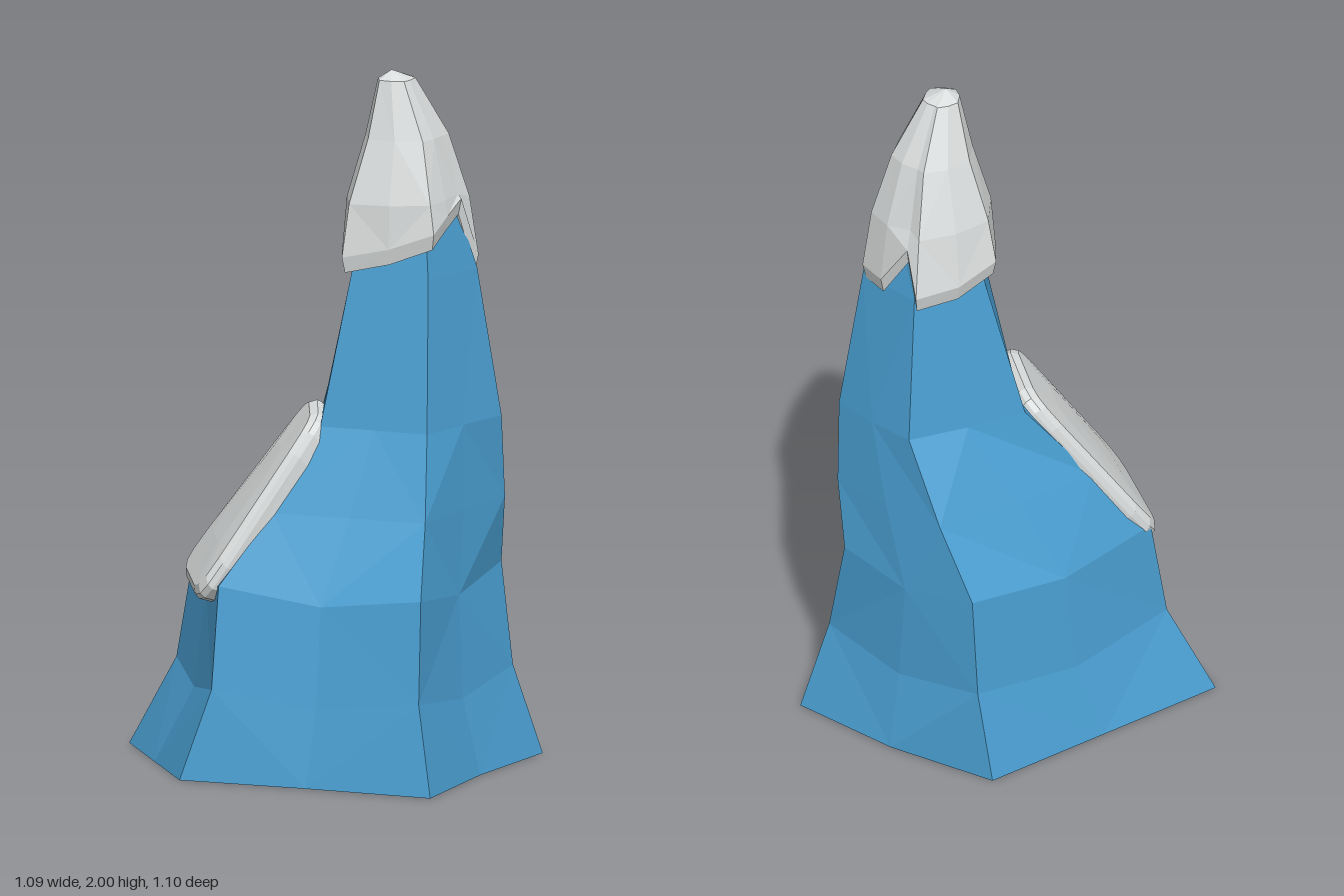
import * as THREE from 'three';

const rockBlue = new THREE.MeshStandardMaterial({ color: 0x4a9fd2, flatShading: true, side: THREE.DoubleSide });
rockBlue.name = 'rock blue';
const snowWhite = new THREE.MeshStandardMaterial({ color: 0xdadddd, flatShading: true, side: THREE.DoubleSide });
snowWhite.name = 'snow white';

// Skins equal-length closed rings of [x, y, z] points, and closes the last ring with a fan to tip
function loft(rings, tip) {
  const n = rings[0].length;
  const index = [];
  for (let r = 0; r < rings.length - 1; r++) {
    for (let j = 0; j < n; j++) {
      const a = r * n + j, b = r * n + (j + 1) % n;
      if ((j + r) % 2) index.push(a, b, b + n, a, b + n, a + n);
      else index.push(a, b, a + n, b, b + n, a + n);
    }
  }
  const last = (rings.length - 1) * n;
  for (let j = 0; j < n; j++) index.push(last + j, last + (j + 1) % n, rings.length * n);
  const g = new THREE.BufferGeometry();
  g.setAttribute('position', new THREE.Float32BufferAttribute([...rings.flat(), tip].flat(), 3));
  g.setIndex(index);
  const flat = g.toNonIndexed();
  flat.computeVertexNormals();
  return flat;
}

function part(name, geometry, material) {
  const mesh = new THREE.Mesh(geometry, material);
  mesh.name = name;
  return mesh;
}

// Five-cornered spire, open below; corners run back right, right, front, left, back left
function rockGeometry() {
  const levels = [
    [0, [-0.42, -0.55], [-0.548, -0.02], [-0.045, 0.55], [0.545, 0.145], [0.39, -0.52]],
    [0.26, [-0.318, -0.455], [-0.46, 0.01], [-0.045, 0.482], [0.467, 0.11], [0.39, -0.455]],
    [0.55, [-0.275, -0.435], [-0.415, -0.03], [-0.015, 0.44], [0.467, 0.042], [0.385, -0.425]],
    [0.75, [-0.12, -0.36], [-0.25, -0.01], [0.06, 0.33], [0.452, 0.09], [0.4, -0.3]],
    [0.99, [0.06, -0.275], [-0.1, 0], [0.11, 0.25], [0.43, 0.11], [0.41, -0.175]],
    [1.42, [0.145, -0.2], [0, 0], [0.155, 0.175], [0.37, 0.075], [0.36, -0.14]],
    [1.6, [0.15, -0.16], [0.04, 0], [0.165, 0.14], [0.31, 0.07], [0.33, -0.11]],
  ];
  // How far the middle of each side bows out, at the foot and above it
  const footBulge = [0, -0.008, -0.02, 0.028, 0];
  const bulge = [0, -0.01, -0.01, 0.025, 0.025];
  const rings = levels.map(([y, ...corners], level) => corners.flatMap(([x, z], i) => {
    const [x2, z2] = corners[(i + 1) % 5];
    const dx = x2 - x, dz = z2 - z, len = Math.hypot(dx, dz);
    const b = level ? bulge[i] * Math.max(0, 1 - y / 1.4) : footBulge[i];
    const drop = level === 1 || level === 2 ? 0.04 : 0;
    return [[x, y, z], [(x + x2) / 2 - dz / len * b, y - drop, (z + z2) / 2 + dx / len * b]];
  }));
  return loft(rings, [0.18, 1.68, -0.02]);
}

// Snow cap with a ragged hem: long tongues and two sharp notches
function capGeometry() {
  const hem = [
    [-0.03, 1.43, 0], [0.07, 1.46, 0.095], [0.165, 1.51, 0.19], [0.24, 1.55, 0.137],
    [0.31, 1.585, 0.09], [0.38, 1.41, 0.065], [0.392, 1.41, -0.03], [0.37, 1.54, -0.12],
    [0.388, 1.41, -0.18], [0.26, 1.42, -0.22], [0.13, 1.46, -0.23], [0.035, 1.43, -0.115],
  ];
  const cx = 0.18, cz = -0.015;
  // Shrinks the hem about its middle; round blends it towards a circle
  const scaled = (s, round, y, x0 = cx, z0 = cz) => hem.map(([px, py, pz]) => {
    const dx = px - cx, dz = pz - cz;
    const k = s * (1 - round + round * 0.205 / Math.hypot(dx, dz));
    return [x0 + dx * k, y(py), z0 + dz * k];
  });
  return loft([
    scaled(0.8, 0, y => y + 0.03),
    scaled(0.95, 0, y => y),
    scaled(1, 0, y => y + 0.045),
    scaled(0.89, 0.25, y => 1.635 + (y - 1.5) * 0.1),
    scaled(0.6, 0.4, () => 1.81, 0.185, -0.018),
    scaled(0.27, 0.5, () => 1.975, 0.16, -0.025),
  ], [0.15, 2, -0.032]);
}

// Rounded snow slab lying on the sloping shoulder
function slabGeometry() {
  const lowA = new THREE.Vector3(-0.275, 0.505, -0.455), lowB = new THREE.Vector3(-0.45, 0.505, -0.05);
  const highA = new THREE.Vector3(0.045, 1.003, -0.263), highB = new THREE.Vector3(-0.105, 1.003, 0.02);
  const out = lowB.clone().sub(lowA).cross(highA.clone().sub(lowA)).normalize();
  const at = (u, v, h) => lowA.clone().lerp(lowB, u)
    .lerp(highA.clone().lerp(highB, u), v).addScaledVector(out, h).toArray();
  const ring = (r, h) => Array.from({ length: 16 }, (_, i) => {
    const t = (i + 0.5) / 16 * Math.PI * 2;
    const round = c => Math.sign(c) * Math.abs(c) ** 0.32 * 0.52 * r + 0.5;
    return at(round(Math.cos(t)), round(Math.sin(t)), h);
  });
  return loft([ring(0.96, -0.035), ring(1, 0), ring(0.99, 0.018), ring(0.93, 0.034), ring(0.5, 0.042)],
    at(0.5, 0.5, 0.044));
}

export function createModel() {
  const model = new THREE.Group();
  model.name = 'snowyRockSpire';
  model.add(
    part('rockSpire', rockGeometry(), rockBlue),
    part('snowCap', capGeometry(), snowWhite),
    part('snowSlab', slabGeometry(), snowWhite),
  );
  return model;
}
